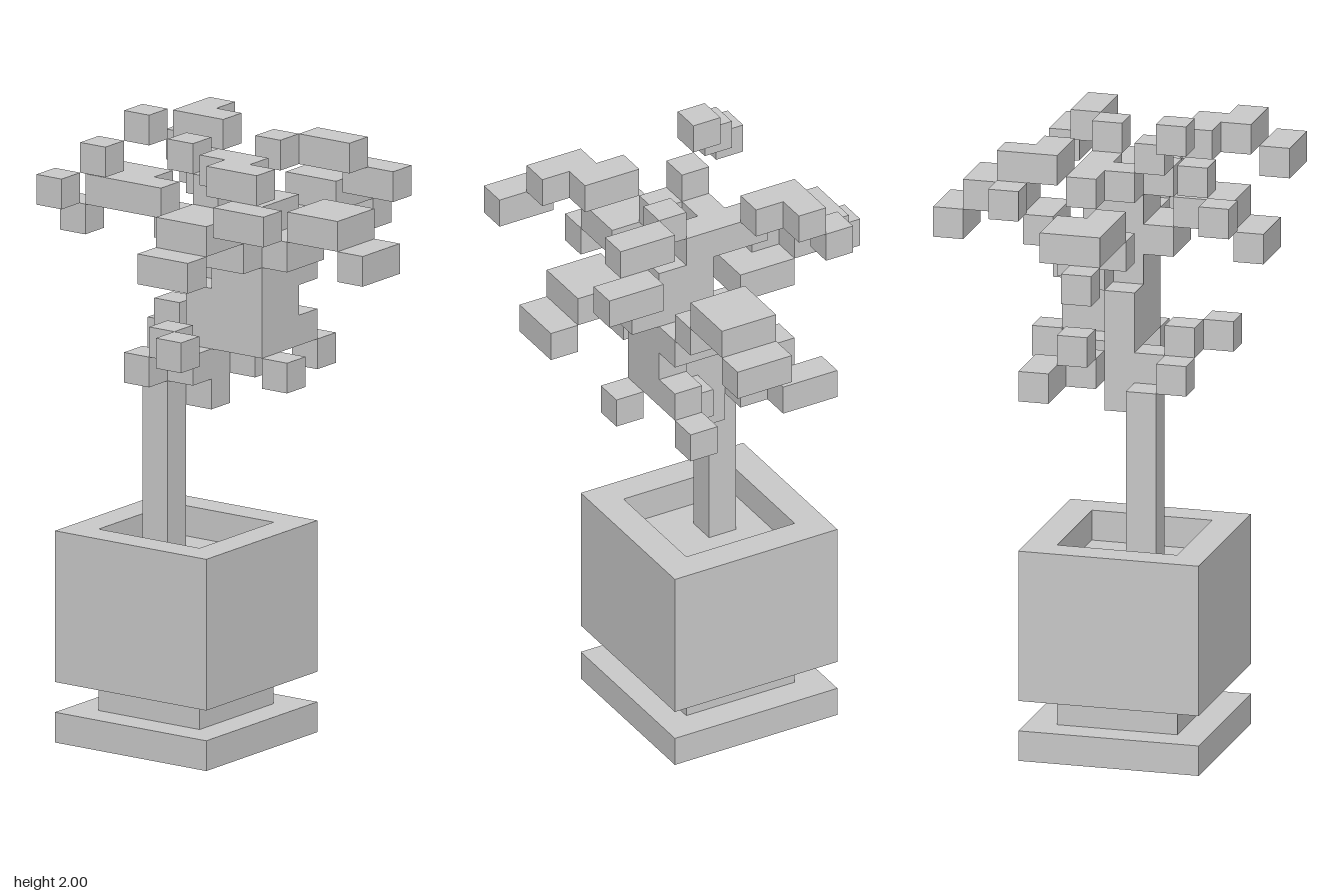
import * as THREE from 'three';

const U = 2 / 21; // one cube of the grid
const material = new THREE.MeshStandardMaterial({ color: 0xcccccc, flatShading: true });

// Box given by its lowest grid cell and its size in cells
function block(parent, name, [i, j, k, w = 1, h = 1, d = 1]) {
  const mesh = new THREE.Mesh(new THREE.BoxGeometry(w * U, h * U, d * U), material);
  mesh.position.set((i + w / 2 - 5.5) * U, (j + h / 2) * U, (k + d / 2 - 6) * U);
  mesh.name = name;
  parent.add(mesh);
}

function part(root, name, piece, cells) {
  const group = new THREE.Group();
  group.name = name;
  cells.forEach((c) => block(group, piece, c));
  root.add(group);
}

function square(path, min, max) {
  path.moveTo(min, min);
  path.lineTo(max, min);
  path.lineTo(max, max);
  path.lineTo(min, max);
  path.closePath();
  return path;
}

export function createModel() {
  const root = new THREE.Group();
  root.name = 'pottedTree';

  // Saucer and foot
  block(root, 'saucer', [1, 0, 2, 6, 1, 6]);
  block(root, 'foot', [2, 1, 3, 4, 1, 4]);

  // Hollow square pot filled with soil to one cell below the rim
  const outline = square(new THREE.Shape(), -3 * U, 3 * U);
  outline.holes.push(square(new THREE.Path(), -2 * U, 2 * U));
  const wall = new THREE.ExtrudeGeometry(outline, { depth: 5 * U, bevelEnabled: false });
  wall.rotateX(-Math.PI / 2);
  const pot = new THREE.Mesh(wall, material);
  pot.name = 'pot';
  pot.position.set(-1.5 * U, 2 * U, -U);
  root.add(pot);
  block(root, 'soil', [2, 2, 3, 4, 4, 4]);

  // Trunk stepping diagonally up to the crown
  part(root, 'trunk', 'trunkSegment', [
    [3, 6, 4, 1, 6, 1],
    [4, 11, 5, 1, 4, 1],
    [4, 13, 6, 1, 3, 1],
    [5, 13, 7, 1, 3, 1],
    [4, 14, 7, 1, 2, 1],
    [5, 15, 5, 1, 1, 2],
    [4, 16, 6, 2, 2, 2],
  ]);

  // Short lower twigs
  part(root, 'leftTwig', 'twigSegment', [[5, 12, 6], [6, 13, 7], [7, 12, 7]]);
  part(root, 'rightTwig', 'twigSegment', [[3, 12, 5], [2, 12, 4], [2, 13, 5], [1, 13, 6]]);
  part(root, 'frontTwig', 'twigSegment', [[4, 13, 7], [4, 12, 8]]);
  part(root, 'backTwig', 'twigSegment', [[5, 12, 4], [5, 13, 3], [6, 12, 2, 1, 1, 2]]);

  // Broad drooping fronds along the axes
  part(root, 'leftFrond', 'frondSegment', [
    [6, 15, 6, 1, 1, 2], [7, 16, 6, 1, 1, 2], [8, 17, 6, 2, 1, 2], [10, 16, 6, 1, 1, 2],
  ]);
  part(root, 'rightFrond', 'frondSegment', [
    [3, 16, 6, 1, 1, 2], [1, 17, 6, 2, 1, 2], [0, 16, 6, 1, 1, 2],
  ]);
  part(root, 'frontFrond', 'frondSegment', [
    [4, 16, 8, 2, 1, 1], [4, 17, 9, 2, 1, 2], [4, 16, 11, 2, 1, 1],
  ]);
  part(root, 'backFrond', 'frondSegment', [
    [4, 16, 4, 2, 1, 1], [5, 16, 3], [4, 17, 1, 1, 1, 3], [5, 17, 1, 1, 1, 2], [4, 16, 0],
  ]);

  // Thin fronds arching over the corners
  part(root, 'frontLeftFrond', 'frondSegment', [
    [5, 18, 6], [5, 19, 7], [6, 19, 8, 1, 1, 2], [7, 18, 9, 1, 1, 2],
  ]);
  part(root, 'frontRightFrond', 'frondSegment', [
    [3, 18, 6], [2, 19, 7, 1, 1, 2], [1, 19, 8, 1, 1, 2], [0, 18, 9, 1, 1, 2],
  ]);
  part(root, 'backLeftFrond', 'frondSegment', [
    [5, 18, 4, 1, 1, 2], [6, 19, 3, 1, 1, 2], [7, 19, 3], [7, 18, 2],
  ]);
  part(root, 'backRightFrond', 'frondSegment', [
    [4, 18, 5], [3, 19, 5], [2, 20, 4], [1, 19, 3], [0, 18, 2],
  ]);

  return root;
}
